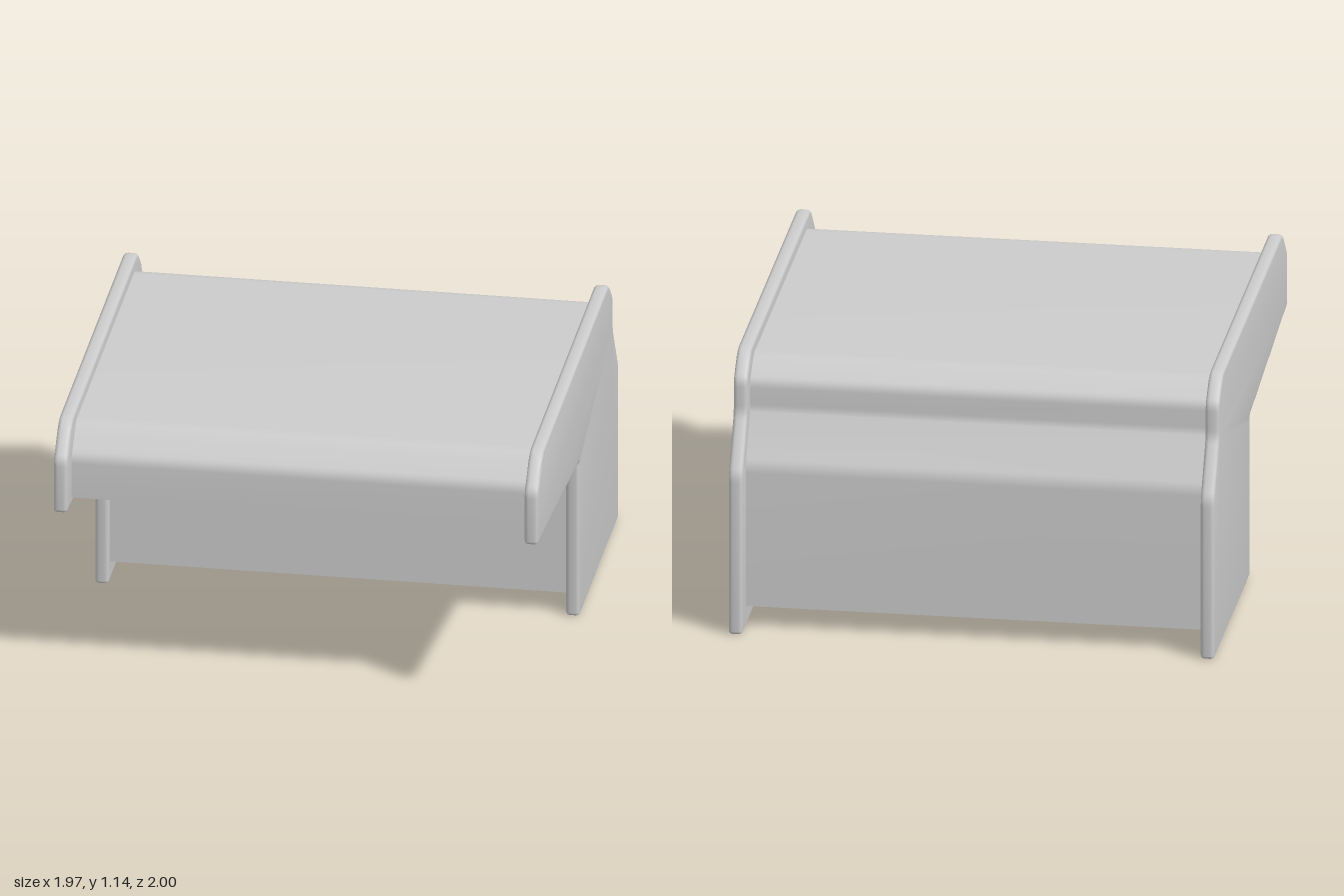
import * as THREE from 'three';
import { toCreasedNormals } from 'three/addons/utils/BufferGeometryUtils.js';

// Closed outline from [z, y, cornerRadius] points
function outline(points) {
  const shape = new THREE.Shape();
  const n = points.length;
  points.forEach(([z, y, r = 0], i) => {
    const corner = new THREE.Vector2(z, y);
    const toward = (q) => new THREE.Vector2(q[0], q[1]).sub(corner).normalize().multiplyScalar(r).add(corner);
    const a = toward(points[(i + n - 1) % n]);
    const b = toward(points[(i + 1) % n]);
    if (i === 0) shape.moveTo(a.x, a.y);
    else shape.lineTo(a.x, a.y);
    if (r > 0) shape.quadraticCurveTo(z, y, b.x, b.y);
  });
  shape.closePath();
  return shape;
}

// Extrudes a side outline across the width, centred on x = 0
function slab(points, width, bevel, crease) {
  const geometry = new THREE.ExtrudeGeometry(outline(points), {
    depth: width - 2 * bevel,
    curveSegments: 5,
    bevelEnabled: bevel > 0,
    bevelSize: bevel,
    bevelThickness: bevel,
    bevelOffset: -bevel,
    bevelSegments: 3,
  });
  geometry.translate(0, 0, bevel - width / 2);
  geometry.rotateY(-Math.PI / 2);
  return toCreasedNormals(geometry, crease);
}

export function createModel() {
  const group = new THREE.Group();
  const material = new THREE.MeshStandardMaterial({ color: 0xcccccc });

  // Side panels: overhanging head at the front, block-shaped foot at the back
  const panelProfile = [
    [-1, 0, 0.012], [-0.03, 0, 0.012], [-0.03, 0.68, 0.015], [1, 0.78, 0.012],
    [1, 1.01, 0.03], [0.87, 1.14, 0.05], [-0.76, 1.14, 0.05],
    [-0.865, 1.04, 0.03], [-0.865, 0.9, 0.03], [-1, 0.68, 0.03],
  ];
  const panelGeometry = slab(panelProfile, 0.057, 0.016, 0.7);
  for (const [name, side] of [['leftPanel', 1], ['rightPanel', -1]]) {
    const panel = new THREE.Mesh(panelGeometry, material);
    panel.name = name;
    panel.position.x = side * 0.9565;
    group.add(panel);
  }

  // Body between the panels, set in from their edges
  const bodyProfile = [
    [-0.905, 0.09], [-0.055, 0.09], [-0.055, 0.7], [0.89, 0.8],
    [0.89, 0.98, 0.03], [0.78, 1.09, 0.04], [-0.69, 1.09, 0.04],
    [-0.785, 1.01, 0.03], [-0.785, 0.89, 0.02], [-0.905, 0.69, 0.03],
  ];
  const body = new THREE.Mesh(slab(bodyProfile, 1.87, 0, 0.6), material);
  body.name = 'body';
  group.add(body);

  return group;
}
